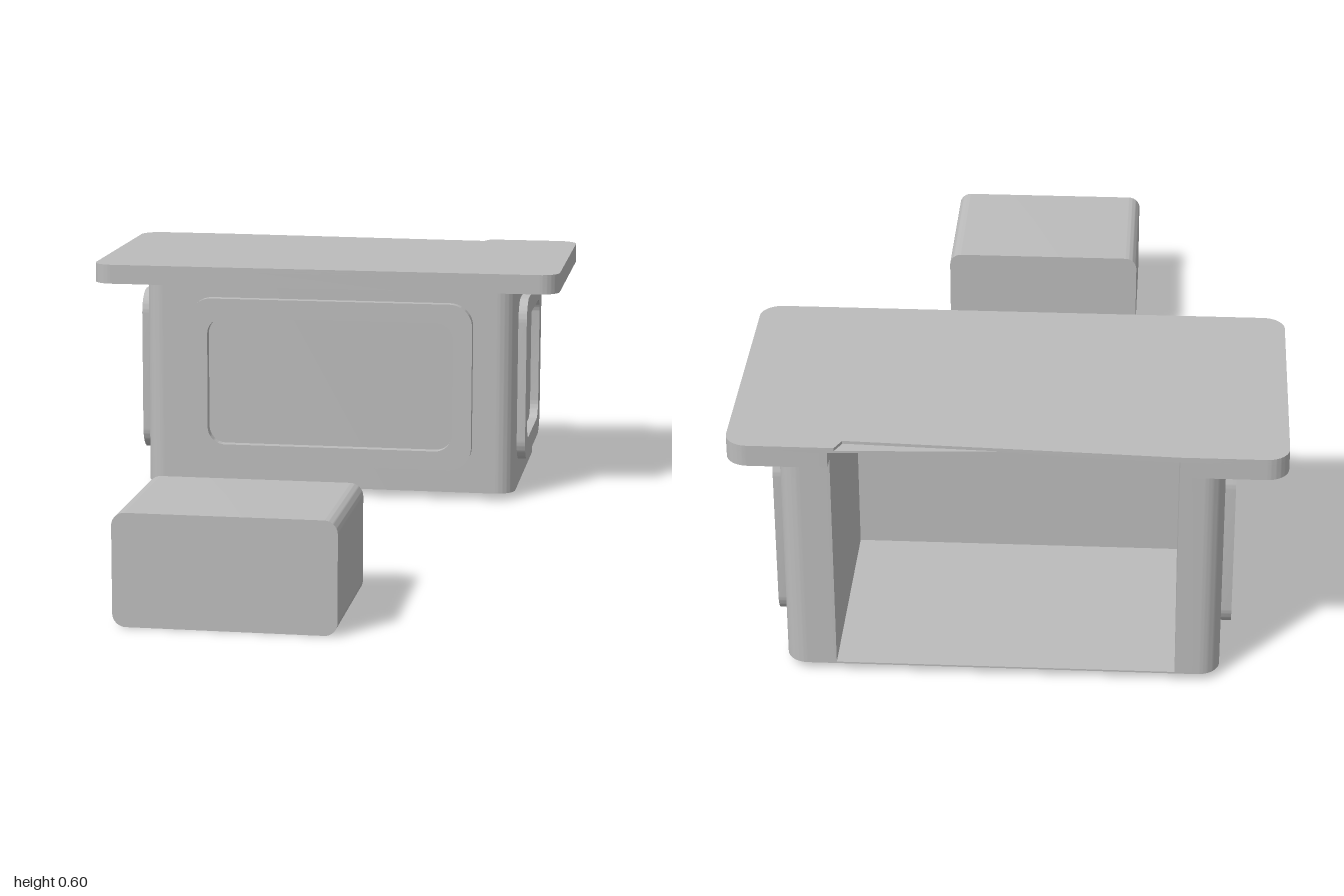
import * as THREE from 'three';
import { toCreasedNormals } from 'three/addons/utils/BufferGeometryUtils.js';

const grey = new THREE.MeshStandardMaterial({ color: 0xbcbcbc });
grey.name = 'plain grey';

// Rounded rectangle outline between two corners
function roundedRect(x0, y0, x1, y1, r, Type = THREE.Shape) {
  const s = new Type();
  s.absarc(x1 - r, y0 + r, r, -Math.PI / 2, 0);
  s.absarc(x1 - r, y1 - r, r, 0, Math.PI / 2);
  s.absarc(x0 + r, y1 - r, r, Math.PI / 2, Math.PI);
  s.absarc(x0 + r, y0 + r, r, Math.PI, Math.PI * 1.5);
  s.closePath();
  return s;
}

// Floor-plan outline with rounded corners and a notch cut into its back edge;
// shape y is -z, notch is a list of points running from right to left
function notchedPlan(x0, y0, x1, y1, r, notch) {
  const s = new THREE.Shape();
  s.absarc(x1 - r, y0 + r, r, -Math.PI / 2, 0);
  s.absarc(x1 - r, y1 - r, r, 0, Math.PI / 2);
  notch.forEach(([x, y]) => s.lineTo(x, y));
  s.absarc(x0 + r, y1 - r, r, Math.PI / 2, Math.PI);
  s.absarc(x0 + r, y0 + r, r, Math.PI, Math.PI * 1.5);
  s.closePath();
  return s;
}

function extrude(shape, depth) {
  return new THREE.ExtrudeGeometry(shape, { depth, bevelEnabled: false, curveSegments: 10 });
}

export function createModel() {
  const model = new THREE.Group();
  model.name = 'deskAndStool';

  function add(name, geometry) {
    const mesh = new THREE.Mesh(toCreasedNormals(geometry, 0.6), grey);
    mesh.name = name;
    model.add(mesh);
    return mesh;
  }
  // Slab standing upright from a floor plan
  const slab = (name, plan, y0, y1) =>
    add(name, extrude(plan, y1 - y0).rotateX(-Math.PI / 2).translate(0, y0, 0));

  // Knee hole limits
  const L = -0.375, R = 0.385, inner = 0.45;

  // Desk body: U-shaped wall, open at the back, on a thin floor
  const opening = [[R, 0.965], [R, inner], [L, inner], [L, 0.965]];
  slab('deskWalls', notchedPlan(-0.475, 0.38, 0.5, 0.965, 0.05, opening), 0.022, 0.55);
  slab('deskFloor', roundedRect(-0.475, 0.38, 0.5, 0.965, 0.05), 0.018, 0.022);

  // Table top: the knee hole reaches up into it, leaving a thin skin
  const top = (name, notch, y0, y1) =>
    slab(name, notchedPlan(-0.61, 0.35, 0.61, 1, 0.05, notch), y0, y1);
  top('tableTopLower', [[R, 1], [R, inner], [L, inner], [L, 1]], 0.55, 0.588);
  top('tableTopMiddle', [[0.37, 1], [0, 0.983], [L, 1]], 0.588, 0.593);
  top('tableTopUpper', [[0.37, 1], [0.355, 0.968], [0, 0.983], [L, 1]], 0.593, 0.6);

  // Raised frames around the front and side panels
  function frame(a0, b0, a1, b1, edge, depth) {
    const s = roundedRect(a0, b0, a1, b1, 0.06);
    s.holes.push(roundedRect(a0 + edge, b0 + 0.05, a1 - edge, b1 - 0.05, 0.045, THREE.Path));
    return extrude(s, depth);
  }
  add('frontFrame', frame(-0.355, 0.08, 0.39, 0.517, 0.05, 0.027).translate(0, 0, -0.382));
  add('leftFrame', frame(0.45, 0.088, 0.89, 0.517, 0.053, 0.024)
    .rotateY(Math.PI / 2).translate(0.498, 0, 0));
  add('rightFrame', frame(-0.89, 0.088, -0.45, 0.517, 0.053, 0.026)
    .rotateY(-Math.PI / 2).translate(-0.473, 0, 0));

  // Stool: block with its four long edges rounded
  add('stool', extrude(roundedRect(-0.25, 0, 0.25, 0.257, 0.03), 0.38).translate(0, 0, 0.62));

  return model;
}
